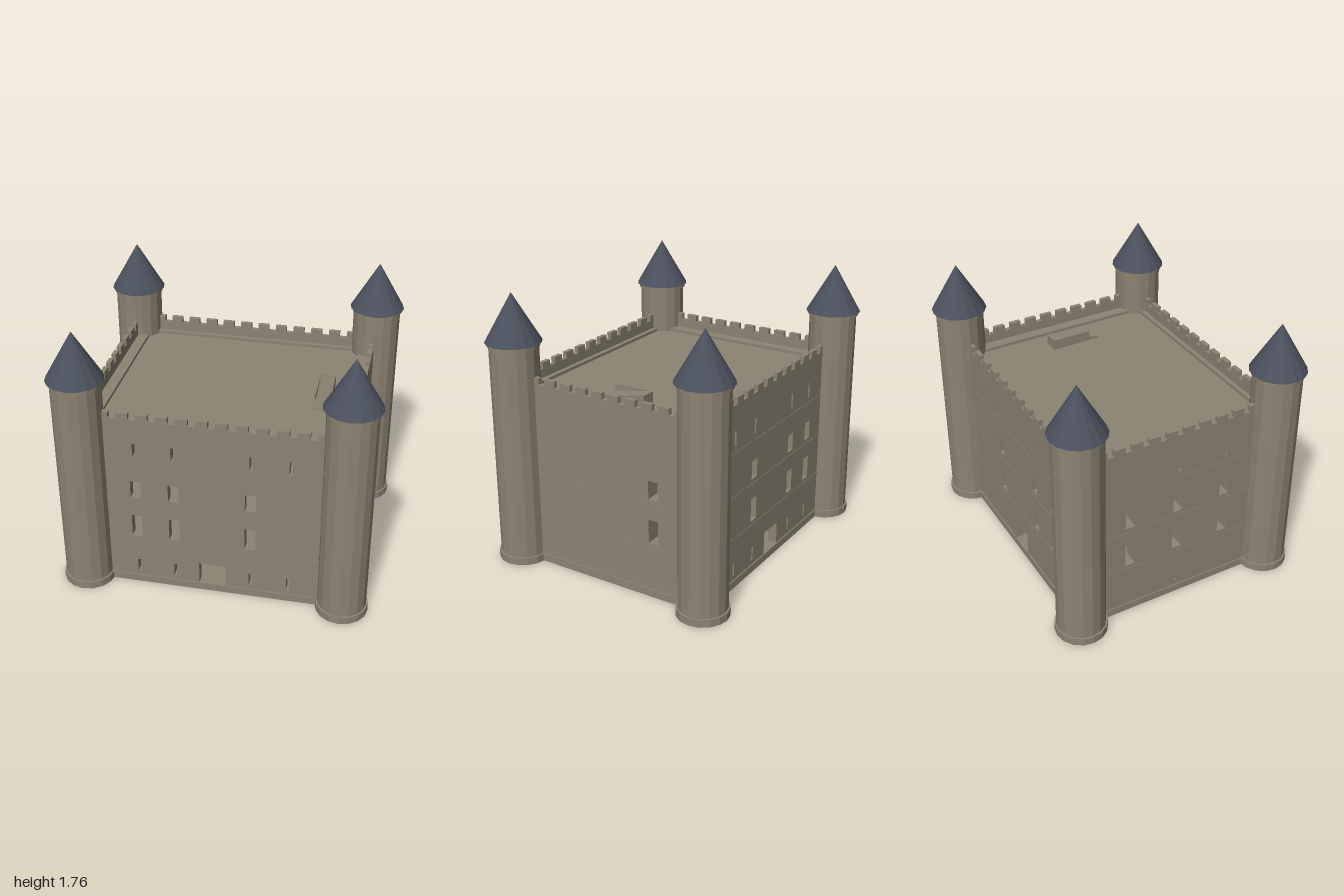
import * as THREE from 'three';

const STONE = new THREE.MeshStandardMaterial({ color: 0x8c8372, flatShading: true });
STONE.name = 'stone';
const SLATE = new THREE.MeshStandardMaterial({ color: 0x4b515d, flatShading: true });
SLATE.name = 'slate';

const HX = 0.83, HZ = 0.685;             // outer half sizes of the keep
const FLOORS = [0.335, 0.62, 0.905];     // storey levels
const ROOF = 1.13, CRENEL = 1.21, TOP = 1.25;

function add(parent, name, geometry, material = STONE) {
  const mesh = new THREE.Mesh(geometry, material);
  mesh.name = name;
  parent.add(mesh);
  return mesh;
}

function box(parent, name, w, h, d, x, y, z) {
  const mesh = add(parent, name, new THREE.BoxGeometry(w, h, d));
  mesh.position.set(x, y, z);
  return mesh;
}

// Opening centred on u, from y0 to y1
const opening = (u, y0, y1, w) => {
  const p = new THREE.Path();
  p.moveTo(u - w / 2, y0);
  p.lineTo(u - w / 2, y1);
  p.lineTo(u + w / 2, y1);
  p.lineTo(u + w / 2, y0);
  p.closePath();
  return p;
};
const lowSlit = u => opening(u, 0.08, 0.17, 0.018);
const highSlit = u => opening(u, 0.95, 1.045, 0.018);
const tallWindow = u => opening(u, 0.36, 0.515, 0.068);
const window_ = u => opening(u, 0.65, 0.77, 0.068);

// Lower wall plate with its openings
function wallGeometry(half, thickness, holes) {
  const s = new THREE.Shape();
  s.moveTo(-half, 0);
  s.lineTo(half, 0);
  s.lineTo(half, ROOF + 0.02);
  s.lineTo(-half, ROOF + 0.02);
  s.closePath();
  s.holes.push(...holes);
  return new THREE.ExtrudeGeometry(s, { depth: thickness, bevelEnabled: false });
}

// Toothed parapet with a gap in the middle
function parapetGeometry(half, pitch, thickness) {
  const s = new THREE.Shape();
  const w = 0.037;
  s.moveTo(-half, ROOF);
  s.lineTo(-half, CRENEL);
  const n = Math.floor((half - w) / pitch - 0.5);
  for (let i = -n - 1; i <= n; i++) {
    const c = (i + 0.5) * pitch;
    s.lineTo(c - w, CRENEL);
    s.lineTo(c - w, TOP);
    s.lineTo(c + w, TOP);
    s.lineTo(c + w, CRENEL);
  }
  s.lineTo(half, CRENEL);
  s.lineTo(half, ROOF);
  s.closePath();
  return new THREE.ExtrudeGeometry(s, { depth: thickness, bevelEnabled: false });
}

// Stand a plate against one outer face of the keep
function place(mesh, side, thickness) {
  if (side === 'front') mesh.position.z = HZ - thickness;
  if (side === 'back') mesh.position.z = -HZ;
  if (side === 'left' || side === 'right') {
    mesh.rotation.y = -Math.PI / 2;
    mesh.position.x = side === 'left' ? HX : -HX + thickness;
  }
}

function buildTower() {
  const tower = new THREE.Group();
  // Hollow foot, shaft and collar in one profile
  const profile = [
    [0, 0.06], [0.125, 0.06], [0.125, 0], [0.166, 0], [0.166, 0.05], [0.154, 0.05],
    [0.154, 1.43], [0.164, 1.43], [0.164, 1.456], [0, 1.456],
  ].map(([r, y]) => new THREE.Vector2(r, y));
  add(tower, 'towerShaft', new THREE.LatheGeometry(profile, 16));
  const roof = add(tower, 'towerRoof', new THREE.ConeGeometry(0.177, 0.306, 16), SLATE);
  roof.position.y = 1.607;
  return tower;
}

export function createModel() {
  const castle = new THREE.Group();
  castle.name = 'castle';

  // Front and back walls share their openings
  const slits = [-0.485, -0.245, 0.24, 0.48];
  const bays = [-0.485, -0.245, 0.237];
  const longHoles = () => [
    ...slits.map(lowSlit), ...slits.map(highSlit),
    ...bays.map(tallWindow), ...bays.map(window_),
    opening(-0.004, 0.05, 0.2, 0.172),
  ];
  const sideHoles = {
    left: [tallWindow(-0.335), window_(-0.335)],
    right: [
      ...[-0.335, 0, 0.335].flatMap(z => [tallWindow(z), window_(z)]),
      lowSlit(0), highSlit(0), highSlit(0.335),
    ],
  };
  for (const side of ['front', 'back']) {
    place(add(castle, side + 'Wall', wallGeometry(HX, 0.06, longHoles())), side, 0.06);
    place(add(castle, side + 'Parapet', parapetGeometry(HX, 0.122, 0.03)), side, 0.03);
  }
  for (const side of ['left', 'right']) {
    place(add(castle, side + 'Wall', wallGeometry(HZ - 0.06, 0.1, sideHoles[side])), side, 0.1);
    place(add(castle, side + 'Parapet', parapetGeometry(HZ - 0.03, 0.117, 0.03)), side, 0.03);
  }

  // Plinth and fine storey courses around the outside
  for (const s of [-1, 1]) {
    box(castle, 'plinth', 2 * HX, 0.05, 0.012, 0, 0.025, s * (HZ + 0.002));
    box(castle, 'plinth', 0.012, 0.05, 2 * HZ, s * (HX + 0.002), 0.025, 0);
    for (const y of FLOORS) {
      box(castle, 'storeyCourse', 2 * HX, 0.006, 0.006, 0, y, s * HZ);
      box(castle, 'storeyCourse', 0.006, 0.006, 2 * HZ, s * HX, y, 0);
    }
  }

  // Floors, flat roof and an inner partition
  const w = 2 * HX - 0.18, d = 2 * HZ - 0.11;
  box(castle, 'groundFloor', w, 0.02, d, 0, 0.04, 0);
  for (const y of FLOORS) box(castle, 'storeyFloor', w, 0.02, d, 0, y, 0);
  box(castle, 'roofDeck', w, 0.03, d, 0, ROOF - 0.015, 0);
  box(castle, 'partition', 0.03, 0.27, 0.45, 0.6, 0.765, -0.37);

  // Roof stair
  const steps = 17, run = 0.34 / steps;
  for (let i = 0; i < steps; i++) {
    const h = 0.012 + 0.058 * i / (steps - 1);
    box(castle, 'roofStep', 0.095, h, run, 0.582, ROOF + h / 2, 0.2 - run * (i + 0.5));
  }
  box(castle, 'stairRail', 0.008, 0.07, 0.27, 0.533, ROOF + 0.035, -0.005);

  // Locating blocks under the ground floor
  for (const s of [-1, 1]) {
    for (let i = 0; i < 6; i++) {
      box(castle, 'footBlock', 0.07, 0.03, 0.03, (i - 2.5) * 0.24, 0.015, s * (HZ - 0.075));
    }
  }
  box(castle, 'footBlock', 0.03, 0.03, 0.2, -0.715, 0.015, -0.1);

  // Corner towers
  for (const sx of [-1, 1]) for (const sz of [-1, 1]) {
    const tower = buildTower();
    tower.name = (sz > 0 ? 'front' : 'back') + (sx > 0 ? 'Left' : 'Right') + 'Tower';
    tower.position.set(sx * 0.823, 0, sz * 0.677);
    castle.add(tower);
  }
  return castle;
}
